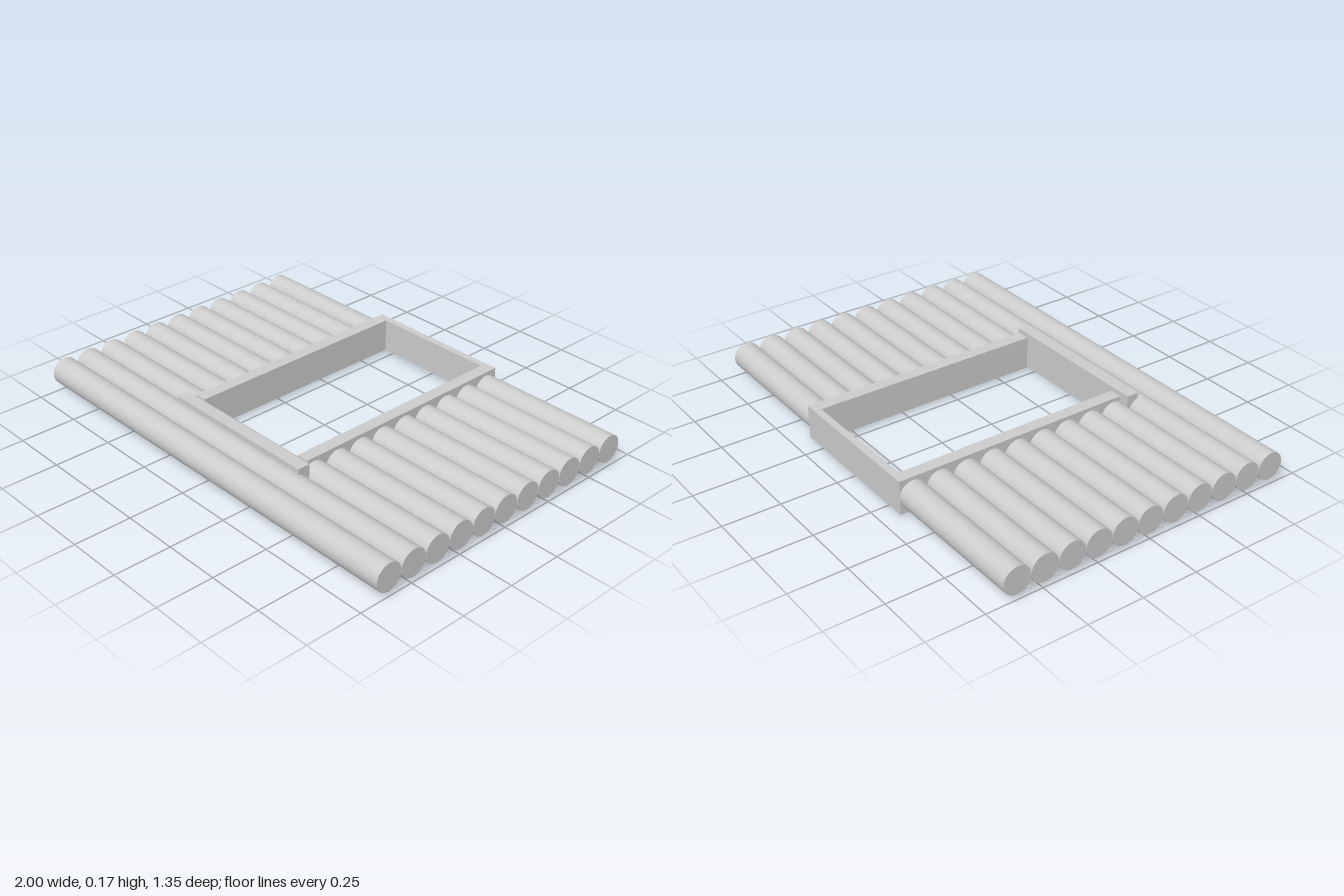
import * as THREE from 'three';

export function createModel() {
  const group = new THREE.Group();
  const grey = new THREE.MeshStandardMaterial({ color: 0xcccccc });
  grey.name = 'plain grey';

  const R = 0.061, PITCH = 0.1228, LOG_Y = 0.084, FRONT_Z = 0.614;

  // Round bar lying along x between x0 and x1
  function bar(name, radius, sides, x0, x1, y, z) {
    const geo = new THREE.CylinderGeometry(radius, radius, x1 - x0, sides);
    geo.rotateZ(Math.PI / 2);
    const mesh = new THREE.Mesh(geo, grey);
    mesh.name = name;
    mesh.position.set((x0 + x1) / 2, y, z);
    group.add(mesh);
  }

  // Board given by its limits on each axis
  function board(name, x0, x1, y0, y1, z0, z1) {
    const mesh = new THREE.Mesh(new THREE.BoxGeometry(x1 - x0, y1 - y0, z1 - z0), grey);
    mesh.name = name;
    mesh.position.set((x0 + x1) / 2, (y0 + y1) / 2, (z0 + z1) / 2);
    group.add(mesh);
  }

  // Logs with thin filler strips under the joints; the first two run full width
  for (let i = 0; i < 11; i++) {
    const z = FRONT_Z - i * PITCH;
    const stripZ = i === 0 ? z : z + PITCH / 2;
    const spans = i < 2 ? [[-1, 1]] : [[-1, -0.31], [0.31, 1]];
    for (const [x0, x1] of spans) {
      bar('log', R, 24, x0, x1, LOG_Y, z);
      bar('fillerStrip', 0.003, 6, x0, x1, 0.023, stripZ);
    }
  }

  // Frame around the opening
  board('leftJamb', 0.287, 0.343, 0.01, 0.16, -0.674, 0.404);
  board('rightJamb', -0.343, -0.287, 0.01, 0.16, -0.674, 0.404);
  board('backBoard', -0.287, 0.287, 0.01, 0.16, -0.674, -0.643);

  // Wider sill across the front of the opening
  board('sill', -0.373, 0.373, 0, 0.167, 0.42, 0.475);

  return group;
}
